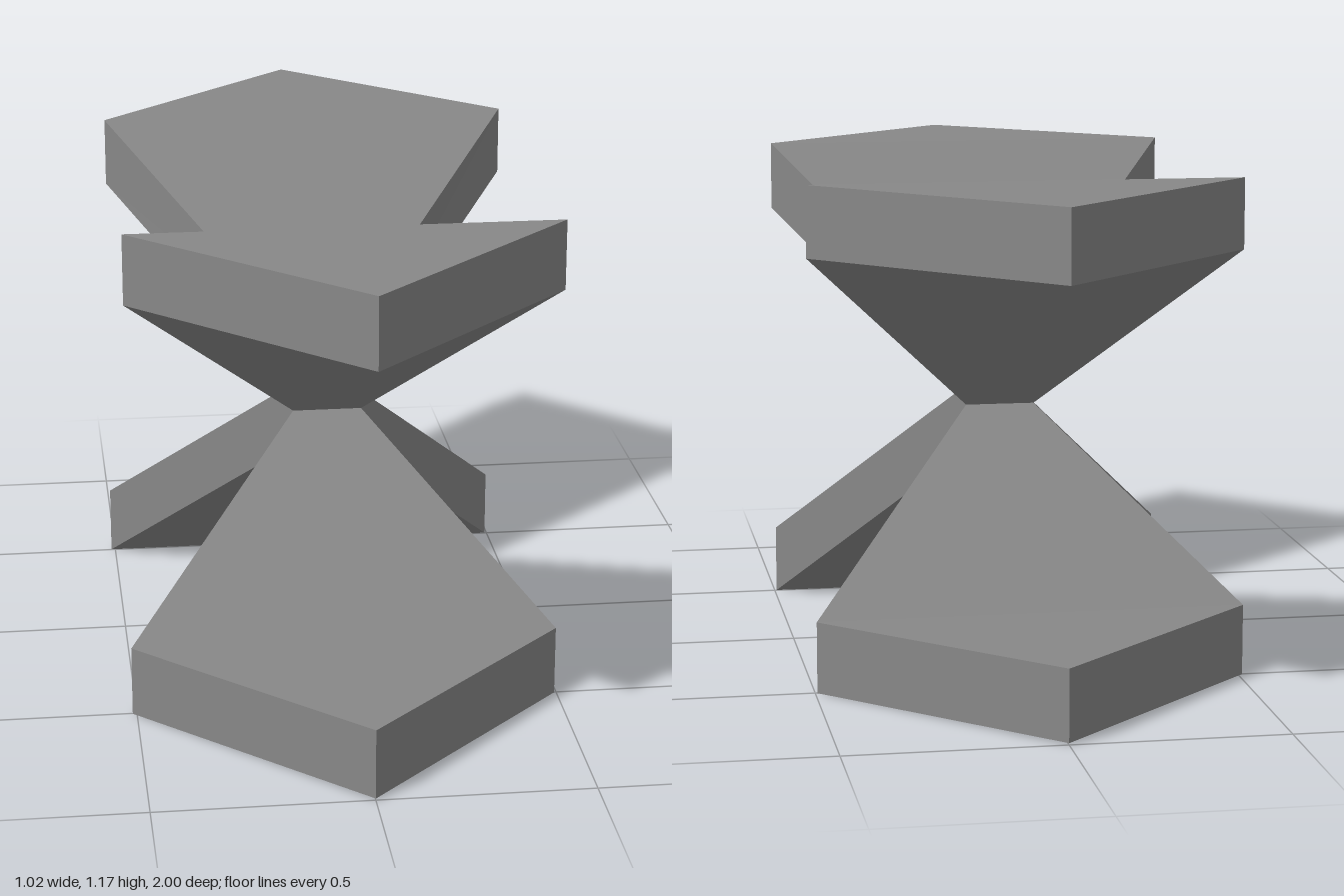
import * as THREE from 'three';

// Side outline of one half as [z, y], counter-clockwise from the centre edge.
const OUTLINE = [
  [0, 0.51], [0.502, 0], [1, 0.004], [1, 0.171], [0.502, 0.168], // lower arm
  [0.083, 0.588],                                                // crotch between the arms
  [0.502, 1.009], [1, 1.005], [1, 1.172], [0.502, 1.175], [0, 0.67], // upper arm
];
// Flat side panels: indices into the outline.
const PANELS = [
  [0, 1, 4, 5], [1, 2, 3, 4],
  [5, 6, 9, 10], [6, 7, 8, 9],
  [0, 5, 10],
];

// One half of the crossed shape: two bent diamond-shaped arms meeting at a vertical edge.
// lower / upper hold the [left, right] reach of each arm at its widest point.
function makeHalf(name, lower, upper) {
  const positions = [];
  const corner = (i, side) => {
    const [z, y] = OUTLINE[i];
    const reach = (i <= 5 ? lower : upper)[side];
    const width = z <= 0.502 ? z / 0.502 : (1 - z) / 0.498;
    return new THREE.Vector3((side ? 1 : -1) * reach * width, y, z);
  };
  const addFace = (points) => {
    for (let i = 1; i < points.length - 1; i++) {
      const tri = new THREE.Triangle(points[0], points[i], points[i + 1]);
      if (tri.getArea() < 1e-6) continue;
      for (const p of [tri.a, tri.b, tri.c]) positions.push(p.x, p.y, p.z);
    }
  };

  // Top and bottom skins spanning left to right along the outline
  for (let i = 0; i < OUTLINE.length - 1; i++) {
    addFace([corner(i, 0), corner(i, 1), corner(i + 1, 1), corner(i + 1, 0)]);
  }
  // Left and right side panels
  for (const panel of PANELS) {
    addFace(panel.map((i) => corner(i, 0)));
    addFace(panel.map((i) => corner(i, 1)).reverse());
  }

  const geometry = new THREE.BufferGeometry();
  geometry.setAttribute('position', new THREE.Float32BufferAttribute(positions, 3));
  geometry.computeVertexNormals();
  const material = new THREE.MeshStandardMaterial({ color: 0x888888, flatShading: true });
  const mesh = new THREE.Mesh(geometry, material);
  mesh.name = name;
  return mesh;
}

export function createModel() {
  const model = new THREE.Group();
  model.name = 'crossedDiamondArms';

  const front = makeHalf('frontArms', [0.51, 0.495], [0.51, 0.495]);
  const back = makeHalf('backArms', [0.495, 0.51], [0.51, 0.5]);
  back.rotation.y = Math.PI;

  model.add(front, back);
  return model;
}
